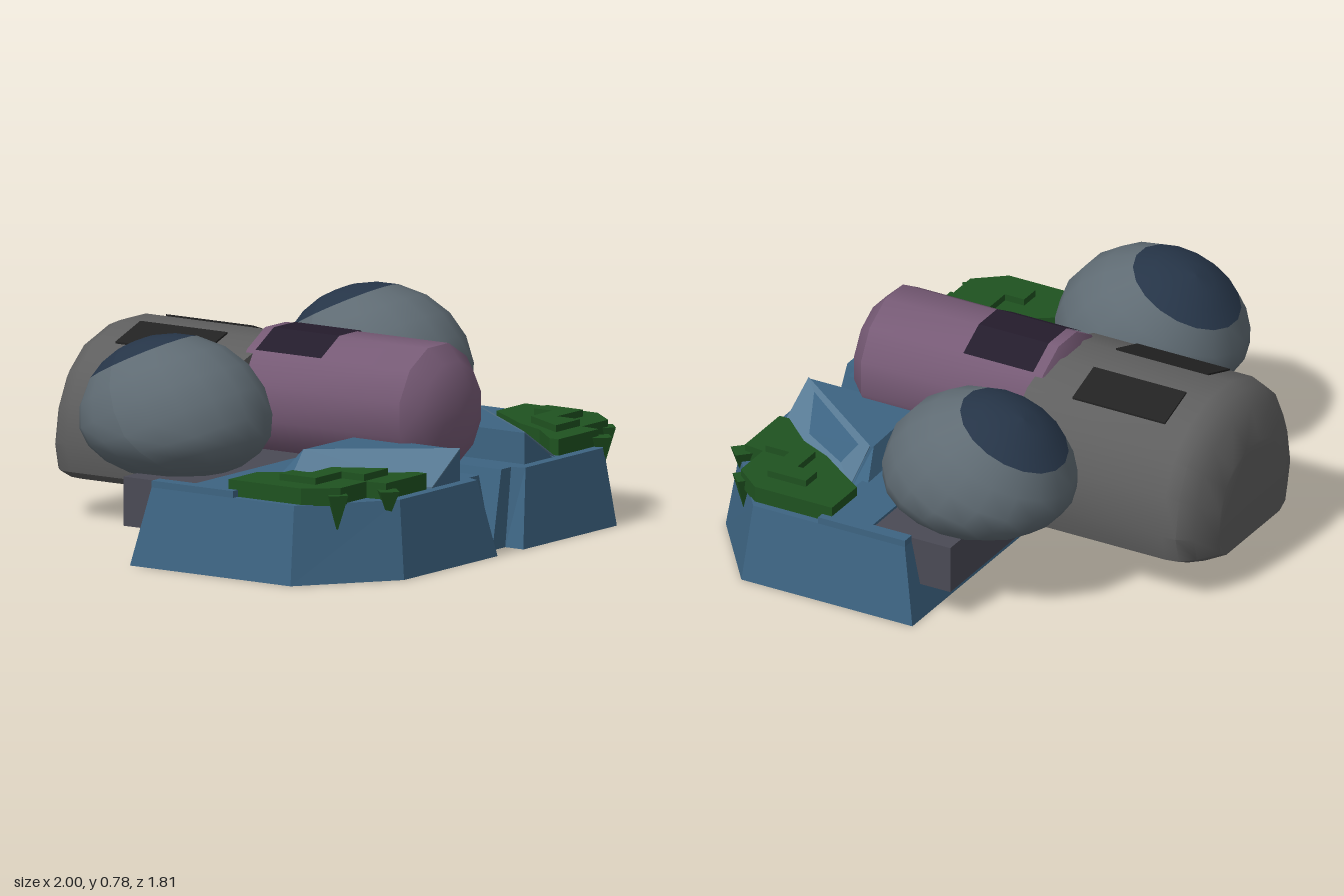
import * as THREE from 'three';
import { toCreasedNormals } from 'three/addons/utils/BufferGeometryUtils.js';

const mat = (color, opts = {}) => new THREE.MeshStandardMaterial({ color, ...opts });
const BLUE = mat(0x3d6482), PALE = mat(0x587a94), GREEN = mat(0x1f5220), SLATE = mat(0x4a4a55);
const POD = mat(0x5f6b73), LENS = mat(0x263548), MAUVE = mat(0x765a75), GLASS = mat(0x241c2c);
const TANK = mat(0x5f5f5f), DARK = mat(0x222222);

// Closed solid through rings of 3D points; along = 'y' (rings rise) or 'z' (rings go forward)
function loft(rings, along = 'y', side = 1) {
  const proj = ([x, y, z]) => along === 'y' ? new THREE.Vector2(z, x) : new THREE.Vector2(x, y);
  let R = rings.map(r => r.map(([x, y, z]) => [x * side, y, z]));
  if (THREE.ShapeUtils.isClockWise(R[0].map(proj))) R = R.map(r => r.slice().reverse());
  const out = [], n = R[0].length;
  const tri = (a, b, c) => out.push(...a, ...b, ...c);
  for (let k = 0; k < R.length - 1; k++) {
    for (let i = 0; i < n; i++) {
      const j = (i + 1) % n;
      tri(R[k][i], R[k][j], R[k + 1][j]);
      tri(R[k][i], R[k + 1][j], R[k + 1][i]);
    }
  }
  const first = R[0], last = R[R.length - 1];
  for (const [a, b, c] of THREE.ShapeUtils.triangulateShape(first.map(proj), [])) tri(first[c], first[b], first[a]);
  for (const [a, b, c] of THREE.ShapeUtils.triangulateShape(last.map(proj), [])) tri(last[a], last[b], last[c]);
  const g = new THREE.BufferGeometry();
  g.setAttribute('position', new THREE.Float32BufferAttribute(out, 3));
  g.computeVertexNormals();
  return g;
}

// Upright solid between two plan outlines of [x, z] points
const atHeight = (pts, y) => pts.map(([x, z]) => [x, y, z]);
const prism = (low, y0, high, y1, side) => loft([atHeight(low, y0), atHeight(high, y1)], 'y', side);

export function createModel() {
  const model = new THREE.Group();
  const add = (name, geo, material, parent = model) => {
    const m = new THREE.Mesh(geo, material);
    m.name = name;
    parent.add(m);
    return m;
  };

  for (const s of [1, -1]) {
    const half = new THREE.Group();
    half.name = s > 0 ? 'leftHalf' : 'rightHalf';
    model.add(half);

    // Tapered hull half, leaving a V groove along the middle
    add('hull', prism(
      [[0, -0.02], [1, -0.02], [1, 0.69], [0.66, 0.95], [0.08, 0.95], [0.08, 0.87], [0, 0.87]], 0,
      [[0.07, 0.04], [0.95, 0.04], [0.95, 0.67], [0.63, 0.91], [0.15, 0.91], [0.13, 0.86], [0.07, 0.86]], 0.285, s), BLUE, half);
    const deck = [[0.07, 0.2], [0.9, 0.2], [0.9, 0.04], [0.95, 0.04], [0.95, 0.4], [0.07, 0.4]];
    add('rearDeck', prism(deck, 0.28, deck, 0.31, s), BLUE, half);

    // Raised wedge beside the nose, with a pale outward slope
    add('wedge', prism(
      [[0.2, 0.36], [0.67, 0.36], [0.66, 0.43], [0.38, 0.87], [0.2, 0.87]], 0.28,
      [[0.2, 0.42], [0.53, 0.41], [0.54, 0.42], [0.21, 0.86], [0.2, 0.87]], 0.4, s), BLUE, half);
    const slope = [[0.66, 0.285, 0.435], [0.54, 0.4, 0.42], [0.2, 0.4, 0.87], [0.38, 0.285, 0.875]];
    add('wedgeSlope', loft([slope, slope.map(([x, y, z]) => [x, y + 0.005, z])], 'y', s), PALE, half);

    // Layered moss with hanging drips
    const moss = [[0.92, 0.36], [0.74, 0.36], [0.67, 0.46], [0.59, 0.57], [0.53, 0.7], [0.41, 0.83],
      [0.41, 0.87], [0.66, 0.87], [0.67, 0.79], [0.83, 0.79], [0.92, 0.68]];
    const mossTop = [[0.83, 0.52], [0.75, 0.52], [0.75, 0.6], [0.62, 0.6], [0.52, 0.78], [0.67, 0.78], [0.67, 0.68], [0.83, 0.68]];
    add('moss', prism(moss, 0.28, moss, 0.345, s), GREEN, half);
    add('mossTop', prism(mossTop, 0.34, mossTop, 0.37, s), GREEN, half);
    for (const [x, z, tip] of [[0.83, 0.775, 0.18], [0.66, 0.88, 0.21]]) {
      const h = 0.32 - tip;
      const drip = new THREE.ConeGeometry(0.05, h, 4).toNonIndexed().rotateX(Math.PI);
      drip.computeVertexNormals();
      add('mossDrip', drip.translate(s * x, tip + h / 2, z), GREEN, half);
    }

    // Egg pod: tilted sphere, flatter below, with a dark lens facing up and back
    const lensAngle = 0.66;
    const egg = (start, length, rings) => {
      const g = new THREE.SphereGeometry(1, 18, rings, 0, Math.PI * 2, start, length).rotateX(-0.52);
      const p = g.attributes.position;
      for (let i = 0; i < p.count; i++) {
        const y = p.getY(i);
        p.setXYZ(i, p.getX(i) * 0.325, y * (y > 0 ? 0.32 : 0.205), p.getZ(i) * 0.365);
      }
      g.computeVertexNormals();
      return g.translate(s * 0.625, 0.462, -0.085);
    };
    add('pod', egg(lensAngle, Math.PI - lensAngle, 8), POD, half);
    add('podLens', egg(0, lensAngle, 3), LENS, half);

    // Dark panels lying on the tank's sloping upper facets
    const panel = [[0.08, 0.685], [0.235, 0.632], [0.235, 0.639], [0.08, 0.692]];
    add('tankPanel', loft([-0.63, -0.245].map(z => panel.map(([x, y]) => [x, y, z])), 'z', s), DARK, half);
  }

  // Cross plate between hull and tank
  add('crossPlate', new THREE.BoxGeometry(1.8, 0.18, 0.39).translate(0, 0.21, 0.075), SLATE);

  // Rear tank: domed section with a flat belly, shrinking to the back
  const right = [[0.32, 0.14], [0.39, 0.175], [0.415, 0.28], [0.39, 0.43], [0.33, 0.55], [0.24, 0.63], [0.08, 0.685]];
  const section = [...right, ...right.slice().reverse().map(([x, y]) => [-x, y])];
  const stations = [[-0.86, 0.6, 0.66], [-0.815, 0.84, 0.86], [-0.77, 0.97, 0.96], [-0.72, 1, 1], [-0.06, 1, 1]];
  const tank = loft(stations.map(([z, sx, sy]) => section.map(([x, y]) => [x * sx, 0.14 + (y - 0.14) * sy, z])), 'z');
  add('tank', toCreasedNormals(tank, 0.65), TANK);

  // Twelve-sided nose capsule
  const profile = [[0, -0.12], [0.2, -0.12], [0.249, -0.09], [0.249, 0.63], [0.19, 0.69], [0.1, 0.73], [0, 0.73]];
  const nose = new THREE.LatheGeometry(profile.map(([r, z]) => new THREE.Vector2(r, z)), 12)
    .rotateY(Math.PI / 12).rotateX(Math.PI / 2).translate(0, 0.484, 0);
  add('nose', toCreasedNormals(nose, 0.65), MAUVE);

  // Window over the nose's three upper facets
  const windowGeo = new THREE.CylinderGeometry(0.253, 0.253, 0.29, 3, 1, true, Math.PI * 0.75, Math.PI / 2)
    .toNonIndexed().rotateX(Math.PI / 2).translate(0, 0.484, 0.095);
  windowGeo.computeVertexNormals();
  add('noseWindow', windowGeo, mat(GLASS.color, { side: THREE.DoubleSide }));

  return model;
}
